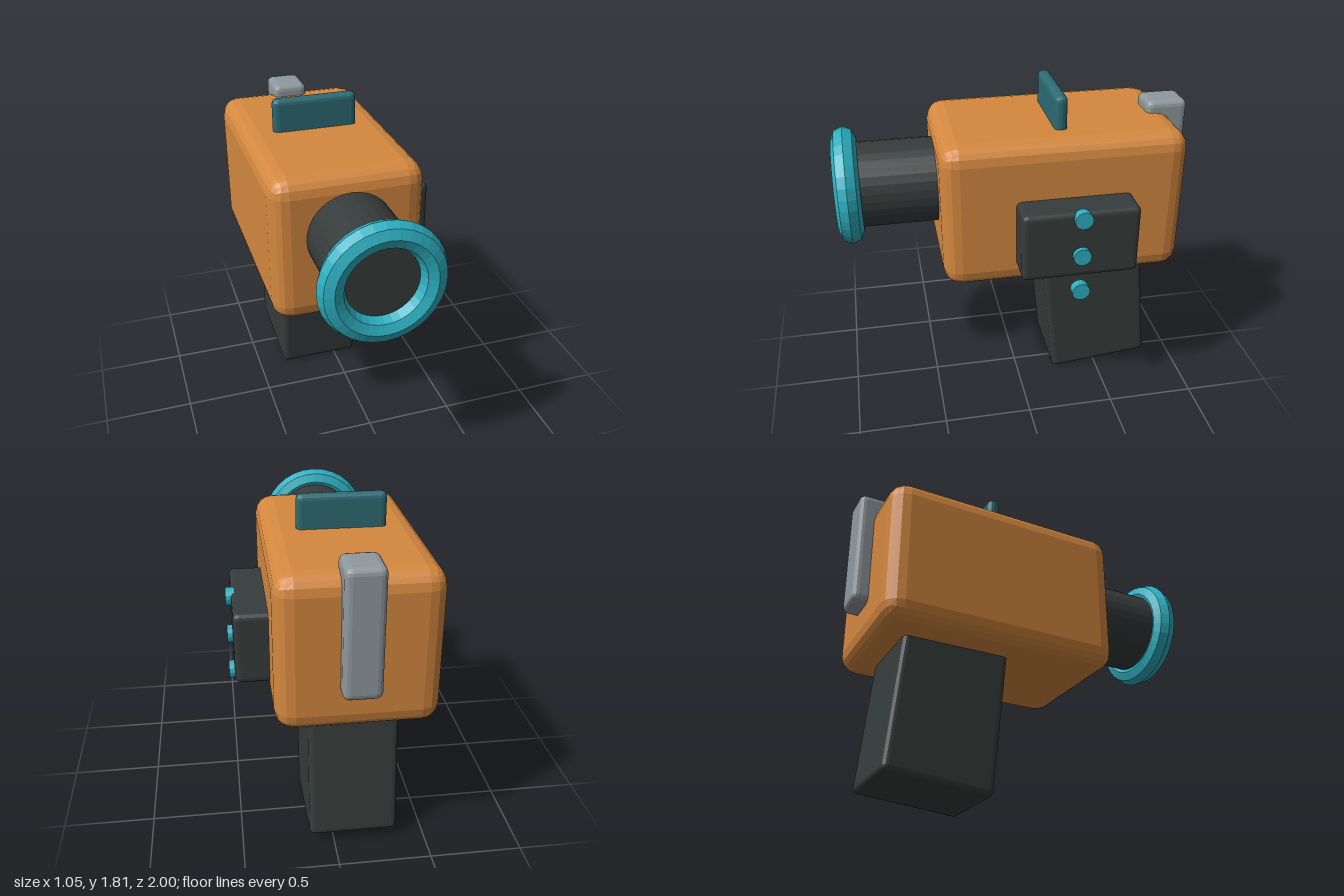
import * as THREE from 'three';
import { RoundedBoxGeometry } from 'three/addons/geometries/RoundedBoxGeometry.js';

export function createModel() {
  const model = new THREE.Group();
  model.name = 'camera';

  const material = (name, color) => {
    const m = new THREE.MeshStandardMaterial({ color, flatShading: true });
    m.name = name;
    return m;
  };
  const orange = material('orange shell', 0xd4883f);
  const charcoal = material('charcoal', 0x363c3b);
  const teal = material('teal', 0x2db0c1);
  const darkTeal = material('dark teal', 0x2c6b73);
  const grey = material('grey', 0x8f999d);

  const add = (name, geometry, mat, x, y, z) => {
    const mesh = new THREE.Mesh(geometry, mat);
    mesh.name = name;
    mesh.position.set(x, y, z);
    model.add(mesh);
    return mesh;
  };
  const block = (w, h, d, r) => new RoundedBoxGeometry(w, h, d, 2, r);

  const axisX = -0.105; // centre line of body, lens and grip

  // Main shell
  add('body', block(0.84, 0.84, 1.36, 0.1), orange, axisX, 1.21, -0.235);

  // Handle, leaning forward towards the top
  const grip = add('grip', block(0.48, 0.95, 0.6, 0.03), charcoal, axisX, 0.503, -0.478);
  grip.rotation.x = 0.1;

  // Lens barrel with a faceted rim
  const barrel = add('lensBarrel', new THREE.CylinderGeometry(0.24, 0.24, 0.55, 32), charcoal, axisX, 1.29, 0.655);
  barrel.rotation.x = Math.PI / 2;
  add('lensRim', new THREE.TorusGeometry(0.26, 0.07, 8, 32), teal, axisX, 1.29, 0.93);

  // Top fin and rear clip
  add('topFin', block(0.48, 0.26, 0.07, 0.03), darkTeal, axisX, 1.685, -0.235);
  add('rearClip', block(0.2, 0.685, 0.235, 0.035), grey, axisX, 1.353, -0.883);

  // Side panel and its column of buttons
  add('sidePanel', block(0.25, 0.395, 0.645, 0.03), charcoal, 0.37, 1.113, -0.275);
  for (const y of [1.275, 1.053, 0.832]) {
    const button = add('button', new THREE.CylinderGeometry(0.05, 0.05, 0.05, 14), teal, 0.498, y, -0.275);
    button.rotation.z = -Math.PI / 2;
  }

  return model;
}
